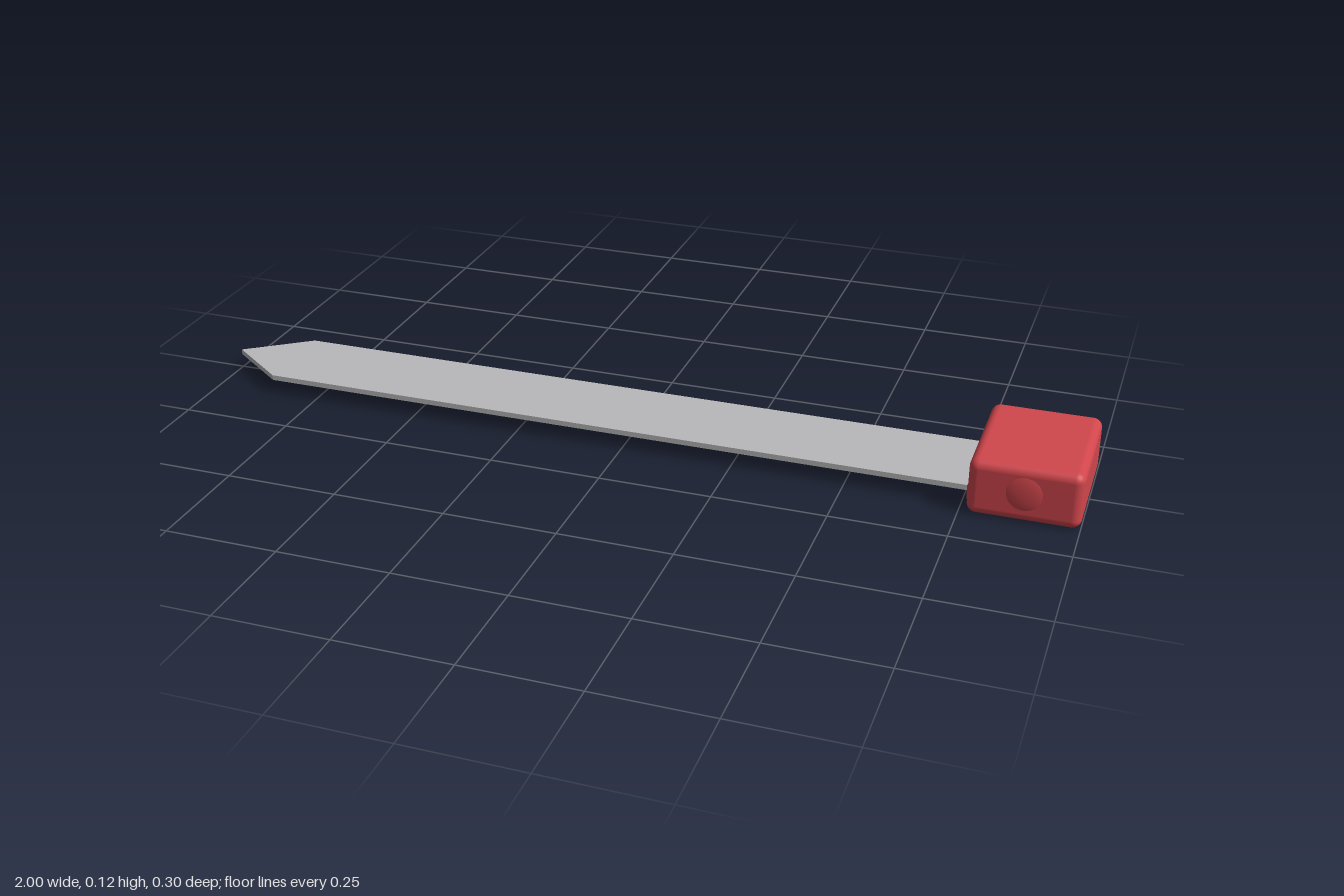
import * as THREE from 'three';
import { RoundedBoxGeometry } from 'three/addons/geometries/RoundedBoxGeometry.js';

export function createModel() {
  const model = new THREE.Group();
  const red = new THREE.MeshStandardMaterial({ color: 0xd0464c });
  red.name = 'red';
  const grey = new THREE.MeshStandardMaterial({ color: 0xb8b9bb });
  grey.name = 'grey';

  const add = (name, geometry, material, x, y, z) => {
    const mesh = new THREE.Mesh(geometry, material);
    mesh.name = name;
    mesh.position.set(x, y, z);
    model.add(mesh);
    return mesh;
  };

  // Rounded case, with a low lip around the strip's exit
  add('case', new RoundedBoxGeometry(0.235, 0.125, 0.294, 5, 0.02), red, 0.8825, 0.0625, 0);
  add('exitLip', new RoundedBoxGeometry(0.02, 0.04, 0.25, 3, 0.006), red, 0.772, 0.037, 0);

  // Shallow domed buttons on both sides
  for (const side of [1, -1]) {
    const button = add('sideButton', new THREE.SphereGeometry(0.047, 32, 20), red, 0.882, 0.066, side * 0.141);
    button.scale.z = 0.01 / 0.047;
  }

  // Flat pointed strip, extruded upwards
  const outline = new THREE.Shape([
    [0.8, -0.104], [0.8, 0.104], [-0.86, 0.104], [-1, 0], [-0.86, -0.104],
  ].map(([x, y]) => new THREE.Vector2(x, y)));
  const strip = new THREE.ExtrudeGeometry(outline, { depth: 0.012, bevelEnabled: false });
  strip.rotateX(-Math.PI / 2);
  add('strip', strip, grey, 0, 0.032, 0);

  return model;
}
